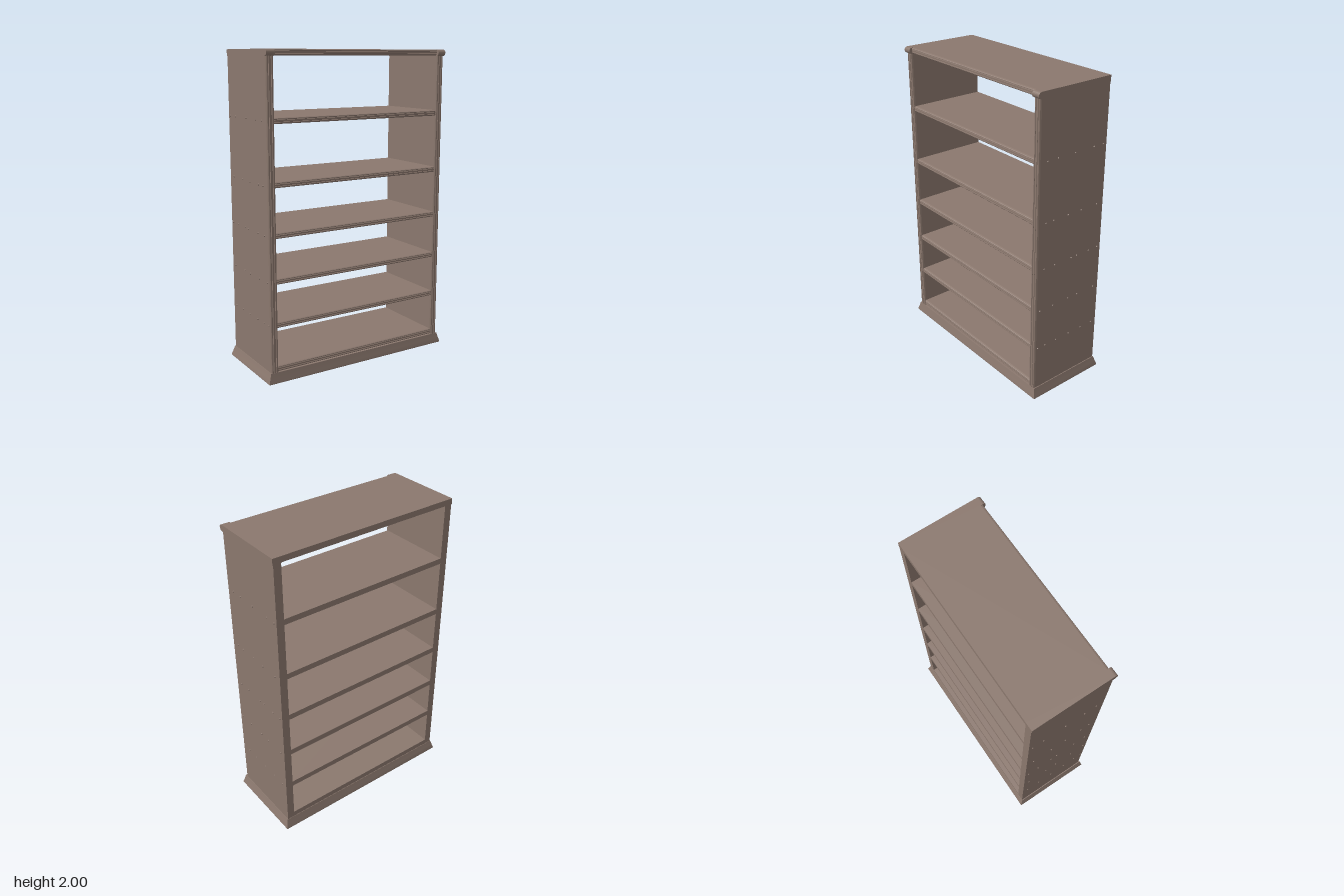
import * as THREE from 'three';

const wood = new THREE.MeshStandardMaterial({ color: 0x8b786e });
wood.name = 'greyBrownWood';

// Moulded front edge: [fraction across the board, depth cut back from the front]
const REEDED = [[0, 0.012], [0.07, 0.003], [0.16, 0], [0.28, 0], [0.32, 0.006], [0.37, 0],
  [0.63, 0], [0.68, 0.006], [0.72, 0], [0.84, 0], [0.93, 0.003], [1, 0.012]];

function add(group, name, geometry, x = 0, y = 0, z = 0) {
  const mesh = new THREE.Mesh(geometry, wood);
  mesh.name = name;
  mesh.position.set(x, y, z);
  group.add(mesh);
  return mesh;
}

function extrude(points, depth) {
  const shape = new THREE.Shape(points.map(([a, b]) => new THREE.Vector2(a, b)));
  return new THREE.ExtrudeGeometry(shape, { depth, bevelEnabled: false });
}

// Horizontal board along x, moulded on its front edge
function shelfGeometry(length, height, back, front) {
  const edge = REEDED.map(([t, d]) => [-(front - d), t * height]);
  return extrude([[-back, 0], ...edge, [-back, height]], length)
    .rotateY(Math.PI / 2).translate(-length / 2, 0, 0);
}

// Upright board along y, moulded on its front edge
function uprightGeometry(width, height, back, front) {
  const edge = REEDED.map(([t, d]) => [(t - 0.5) * width, -(front - d)]);
  return extrude([[-width / 2, -back], ...edge, [width / 2, -back]], height)
    .rotateX(-Math.PI / 2);
}

// Top cap with a rounded nose at the front
function capGeometry(width, height, back, front) {
  const r = height / 2, points = [[-back, 0]];
  for (let i = 0; i <= 10; i++) {
    const a = -Math.PI / 2 + Math.PI * i / 10;
    points.push([-(front - r + r * Math.cos(a)), r + r * Math.sin(a)]);
  }
  points.push([-back, height]);
  return extrude(points, width).rotateY(Math.PI / 2).translate(-width / 2, 0, 0);
}

// Plinth flaring outward towards the floor
function plinthGeometry() {
  const rings = [[0.662, -0.28, 0.28], [0.662, -0.28, 0.28], [0.653, -0.271, 0.273], [0.645, -0.262, 0.267]];
  const heights = [0, 0.008, 0.035, 0.065];
  const g = new THREE.BoxGeometry(2, 3, 2, 1, 3, 1);
  const p = g.attributes.position;
  for (let i = 0; i < p.count; i++) {
    const k = Math.round(p.getY(i) + 1.5);
    const [w, back, front] = rings[k];
    p.setXYZ(i, Math.sign(p.getX(i)) * w, heights[k], p.getZ(i) > 0 ? front : back);
  }
  g.computeVertexNormals();
  return g;
}

export function createModel() {
  const model = new THREE.Group();
  model.name = 'bookshelf';

  add(model, 'plinth', plinthGeometry());

  // Shelves, from the bottom board to the top board
  const shelf = shelfGeometry(1.19, 0.037, -0.26, 0.26);
  [0.066, 0.344, 0.617, 0.898, 1.203, 1.576, 1.963].forEach((y, i) =>
    add(model, i === 6 ? 'topBoard' : 'shelf' + (i + 1), shelf, 0, y));

  // Screw rows on the side panels: height, then depth positions
  const rows = [
    [1.595, 0.2, 0.12, -0.01, -0.16, -0.235],
    [1.215, 0.2, 0.14, 0.025, -0.08, -0.21],
    [0.915, 0.205, 0.12, -0.015, -0.06, -0.16, -0.235],
    [0.632, 0.23, 0.125, 0, -0.08, -0.22],
    [0.362, 0.24, 0.18, 0.09, -0.02, -0.125, -0.22],
  ];
  const upright = uprightGeometry(0.05, 1.9, -0.26, 0.265);
  const cap = capGeometry(0.055, 0.04, -0.26, 0.28);
  const screw = new THREE.CylinderGeometry(0.004, 0.007, 0.008, 8).rotateZ(-Math.PI / 2);

  for (const s of [1, -1]) {
    const side = new THREE.Group();
    side.name = s > 0 ? 'leftSide' : 'rightSide';
    add(side, 'sidePanel', upright, s * 0.615, 0.064);
    add(side, 'topCap', cap, s * 0.6165, 1.96);
    for (const [y, ...depths] of rows)
      for (const z of depths) {
        const head = add(side, 'screwHead', screw, s * 0.641, y, z);
        if (s < 0) head.rotation.y = Math.PI;
      }
    model.add(side);
  }
  return model;
}
